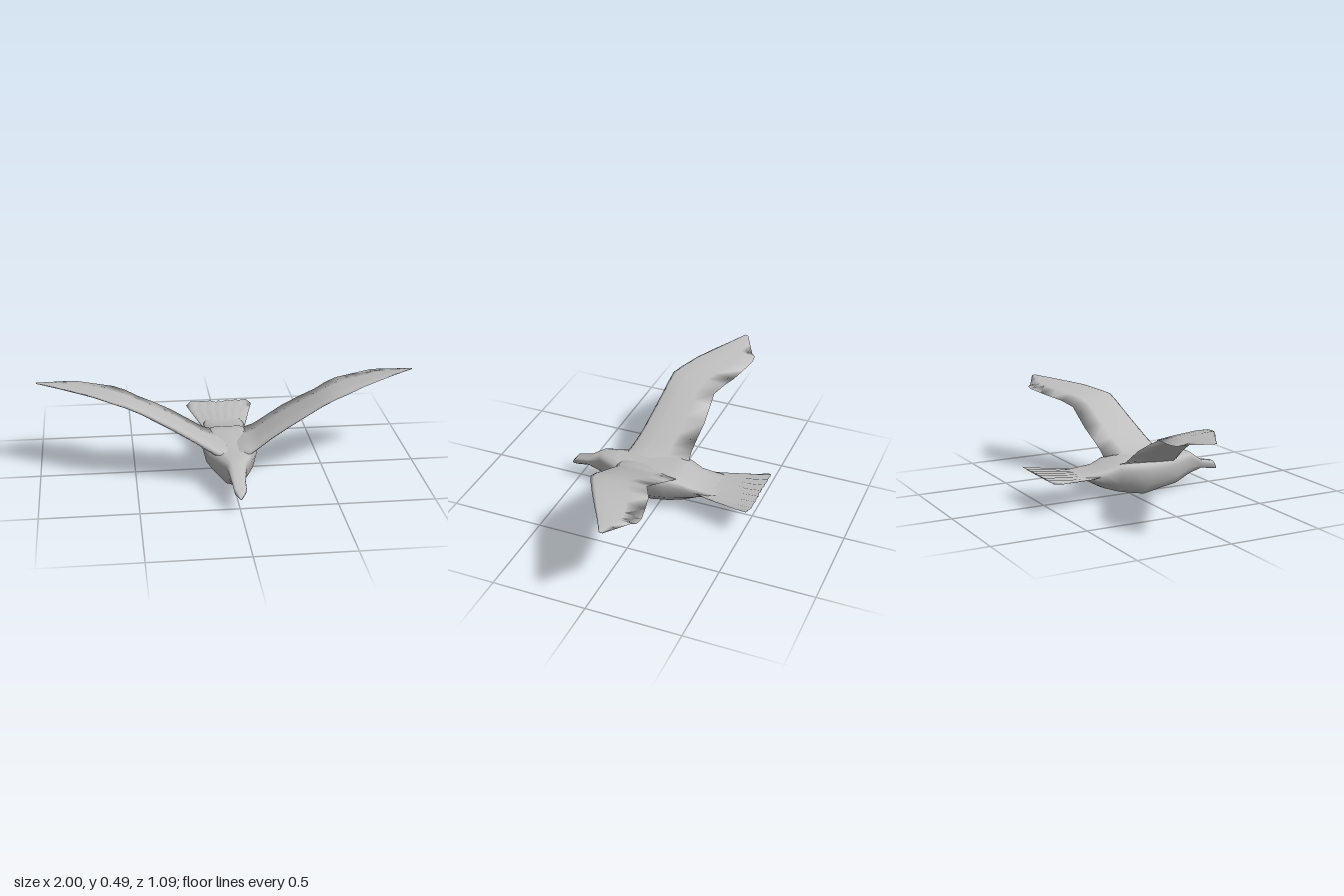
import * as THREE from 'three';

// Skin a list of rings; each ring runs counter-clockwise seen from the start end.
function loft(rings, material, name) {
  const centre = (r) => {
    const c = r.reduce((s, p) => s.add(p), new THREE.Vector3()).divideScalar(r.length);
    return r.map(() => c);
  };
  const all = [centre(rings[0]), ...rings, centre(rings[rings.length - 1])];
  const n = rings[0].length;
  const index = [];
  for (let i = 0; i < all.length - 1; i++) {
    for (let j = 0; j < n; j++) {
      const a = i * n + j, b = i * n + (j + 1) % n, c = a + n, d = b + n;
      if (i > 0) index.push(a, c, b);
      else index.push(a, c, d);
      if (i > 0 && i < all.length - 2) index.push(b, c, d);
    }
  }
  const geometry = new THREE.BufferGeometry().setFromPoints(all.flat());
  geometry.setIndex(index);
  geometry.computeVertexNormals();
  const mesh = new THREE.Mesh(geometry, material);
  mesh.name = name;
  return mesh;
}

// Body, head and beak: z, top, bottom, half width
const BODY = [
  [0.545, 0.08, 0.07, 0.006],
  [0.515, 0.12, 0.075, 0.032],
  [0.44, 0.135, 0.088, 0.036],
  [0.36, 0.19, 0.065, 0.05],
  [0.265, 0.188, 0.027, 0.085],
  [0.17, 0.19, 0.019, 0.125],
  [0.05, 0.195, 0.0, 0.147],
  [-0.05, 0.198, 0.02, 0.145],
  [-0.11, 0.195, 0.034, 0.13],
  [-0.18, 0.167, 0.06, 0.112],
  [-0.28, 0.153, 0.115, 0.11],
  [-0.36, 0.15, 0.132, 0.09],
];
// Right half of the body section, bottom to top, as fractions
const SECTION = [[0, 0], [0.5, 0.04], [0.86, 0.33], [1, 0.76], [0.88, 0.93], [0.5, 1], [0, 1]];

function makeBody(material) {
  const left = SECTION.slice(1, -1).reverse().map(([x, y]) => [-x, y]);
  const outline = [...SECTION, ...left];
  const rings = BODY.map(([z, top, bottom, half]) =>
    outline.map(([x, y]) => new THREE.Vector3(x * half, bottom + y * (top - bottom), z)));
  return loft(rings, material, 'body');
}

// Wing stations: x, leading z, leading y, trailing z, trailing y, thickness
const WING = [
  [0.03, 0.25, 0.175, -0.1, 0.18, 0.03],
  [0.09, 0.24, 0.183, -0.105, 0.188, 0.034],
  [0.14, 0.225, 0.212, -0.096, 0.208, 0.034],
  [0.2, 0.21, 0.25, -0.1, 0.245, 0.032],
  [0.3, 0.195, 0.308, -0.11, 0.305, 0.03],
  [0.4, 0.183, 0.363, -0.105, 0.358, 0.026],
  [0.47, 0.176, 0.402, -0.1, 0.392, 0.024],
  [0.54, 0.17, 0.433, -0.135, 0.418, 0.02],
  [0.6, 0.143, 0.445, -0.165, 0.43, 0.017],
  [0.7, 0.088, 0.465, -0.19, 0.44, 0.014],
  [0.79, 0.035, 0.474, -0.21, 0.45, 0.012],
  [0.84, 0.005, 0.478, -0.205, 0.455, 0.01],
  [0.86, -0.008, 0.48, -0.182, 0.462, 0.01],
  [0.93, -0.05, 0.485, -0.145, 0.475, 0.008],
  [1.0, -0.088, 0.49, -0.108, 0.488, 0.003],
];
// Wing section: position along the chord, height in thicknesses
const FOIL = [[0, 0], [0.06, 0.4], [0.3, 0.6], [0.65, 0.4], [1, 0.05], [0.65, -0.15], [0.3, -0.4], [0.06, -0.4]];

function makeWing(side, material) {
  const rings = WING.map(([x, z0, y0, z1, y1, t]) => {
    const ring = FOIL.map(([u, v]) => new THREE.Vector3(
      side * x, y0 + (y1 - y0) * u + v * t, z0 + (z1 - z0) * u));
    return side > 0 ? ring : ring.reverse();
  });
  return loft(rings, material, side > 0 ? 'leftWing' : 'rightWing');
}

// Tail fan: z, centre y, half width, half thickness, feather ripple
const TAIL = [
  [-0.19, 0.142, 0.1, 0.014, 0],
  [-0.28, 0.138, 0.124, 0.014, 0],
  [-0.38, 0.146, 0.148, 0.01, 0.002],
  [-0.46, 0.155, 0.168, 0.006, 0.006],
  [-0.533, 0.166, 0.185, 0.003, 0.008],
];

function makeTail(material) {
  const columns = 14;
  const rings = TAIL.map(([z, y, half, t, ripple], row) => {
    const edge = (up) => Array.from({ length: columns + 1 }, (_, k) => {
      const zig = k % 2 ? 1 : -1;
      const u = 1 - 2 * k / columns;
      const notch = row === TAIL.length - 1 ? -zig * 0.011 : 0;
      const thick = t * (1 - 0.85 * u * u);
      return new THREE.Vector3(u * half, y + zig * ripple + up * thick, z + notch);
    });
    return [...edge(1), ...edge(-1).reverse()];
  });
  return loft(rings, material, 'tail');
}

export function createModel() {
  const plumage = new THREE.MeshStandardMaterial({ color: 0xbebebe });
  plumage.name = 'grey plumage';
  plumage.side = THREE.DoubleSide;
  const bird = new THREE.Group();
  bird.name = 'bird';
  bird.add(makeBody(plumage), makeWing(1, plumage), makeWing(-1, plumage), makeTail(plumage));
  return bird;
}
